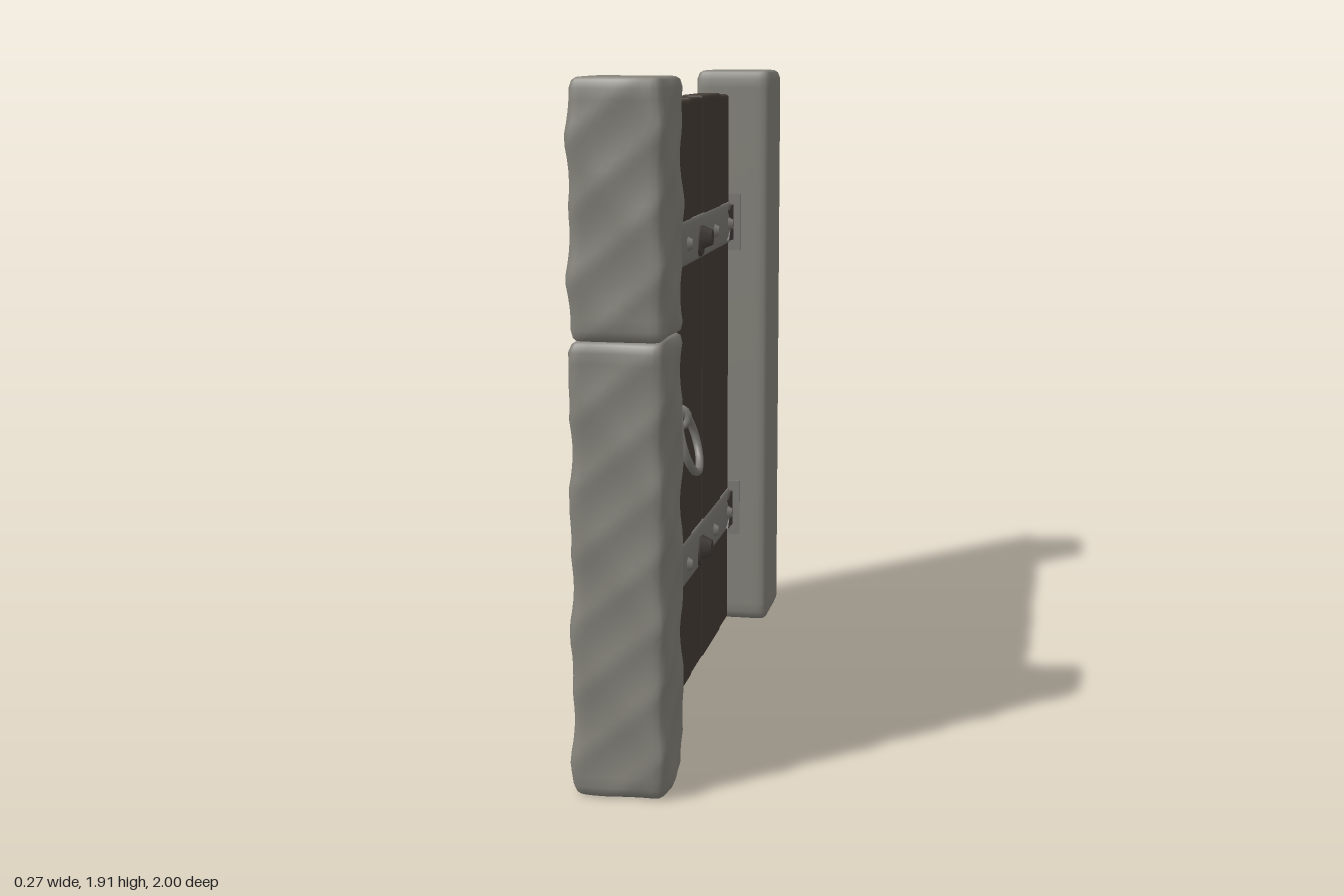
import * as THREE from 'three';
import { mergeVertices } from 'three/addons/utils/BufferGeometryUtils.js';
import { RoundedBoxGeometry } from 'three/addons/geometries/RoundedBoxGeometry.js';

const mat = (name, color) => Object.assign(new THREE.MeshStandardMaterial({ color }), { name });
const stone = mat('stone', 0x85837b);
const wood = mat('dark wood', 0x463e37);
const iron = mat('iron', 0x7c7a75);
const darkIron = mat('dark iron', 0x443f3b);

function add(parent, name, geometry, material, x = 0, y = 0, z = 0) {
  const mesh = new THREE.Mesh(geometry, material);
  mesh.name = name;
  mesh.position.set(x, y, z);
  parent.add(mesh);
  return mesh;
}

// Rounded block whose sides are dented by a few crossing waves
function stoneBlock(w, h, d, r, dent, seed) {
  let g = new THREE.BoxGeometry(w, h, d, 14, Math.round(h / 0.03), 14);
  g.deleteAttribute('uv');
  g.deleteAttribute('normal');
  g = mergeVertices(g);
  const p = g.attributes.position;
  const v = new THREE.Vector3(), core = new THREE.Vector3();
  const lim = new THREE.Vector3(w / 2 - r, h / 2 - r, d / 2 - r);
  for (let i = 0; i < p.count; i++) {
    v.fromBufferAttribute(p, i);
    core.copy(v).clamp(lim.clone().negate(), lim);
    v.sub(core).normalize().multiplyScalar(r).add(core);
    const a = Math.sin(v.y * 9 + v.x * 11 - v.z * 8 + seed);
    const b = Math.sin(v.y * 17 - v.x * 14 + v.z * 12 + seed * 2.3);
    const cut = dent * (Math.abs(a) * 0.6 + Math.abs(b) * 0.4);
    v.x *= 1 - cut / w * 2;
    v.z *= 1 - cut / d * 2;
    p.setXYZ(i, v.x, v.y, v.z);
  }
  g.computeVertexNormals();
  return g;
}

// Round peg pointing along +x
const peg = (r1, r2, len, sides = 8) =>
  new THREE.CylinderGeometry(r2, r1, len, sides).rotateZ(-Math.PI / 2);

// Thin plate cut in the z-y plane, facing +x
function plate(points, depth) {
  const shape = new THREE.Shape(points.map(([z, y]) => new THREE.Vector2(-z, y)));
  return new THREE.ExtrudeGeometry(shape, { depth, bevelEnabled: false }).rotateY(Math.PI / 2);
}

function buildPosts() {
  const posts = new THREE.Group();
  posts.name = 'posts';
  add(posts, 'roughPostLower', stoneBlock(0.275, 1.235, 0.275, 0.03, 0.014, 1), stone, 0, 0.6175, 0.863);
  add(posts, 'roughPostUpper', stoneBlock(0.275, 0.68, 0.275, 0.03, 0.014, 4), stone, 0, 1.572, 0.863);
  add(posts, 'smoothPost', stoneBlock(0.255, 1.91, 0.255, 0.03, 0, 0), stone, 0.003, 0.955, -0.872);
  return posts;
}

function buildPlanks() {
  const planks = new THREE.Group();
  planks.name = 'planks';
  const seams = [0.735, 0.545, 0.35, 0.13, -0.078, -0.268, -0.585, -0.75];
  for (let i = 0; i < seams.length - 1; i++) {
    const width = seams[i] - seams[i + 1] - 0.004;
    const top = 1.83 + (i % 3) * 0.004;
    add(planks, 'plank', new RoundedBoxGeometry(0.076, top - 0.005, width, 3, 0.012), wood,
      -0.048 + (i % 2) * 0.003, (top + 0.005) / 2, (seams[i] + seams[i + 1]) / 2);
  }
  return planks;
}

// One strap with flared end, studs and hinge plate
function buildStrap(y) {
  const strap = new THREE.Group();
  strap.name = 'strap';
  strap.position.y = y;
  const flare = [[0.69, 0.055], [0.65, 0.072], [0.655, 0.09], [0.625, 0.095], [0.615, 0.112],
    [0.585, 0.108], [0.575, 0.085], [0.555, 0.07]];
  const outline = [...flare, ...flare.map(([z, h]) => [z, -h * 0.92]).reverse()];
  for (const [name, side] of [['front', 1], ['back', -1]]) {
    const bar = new THREE.CylinderGeometry(0.069, 0.069, 1.43, 20).rotateX(Math.PI / 2).scale(0.22, 1, 1);
    add(strap, name + 'Bar', bar, iron, side > 0 ? -0.009 : -0.086, 0, -0.028);
    add(strap, name + 'Flare', plate(outline, 0.012), iron, side > 0 ? -0.012 : -0.1);
  }
  // Dark end pieces and seat of the large stud
  add(strap, 'strapEnd', new THREE.BoxGeometry(0.012, 0.115, 0.045), darkIron, -0.009, 0, 0.71);
  add(strap, 'hingeLeaf', plate([[-0.695, 0.06], [-0.655, 0.045], [-0.67, 0.02], [-0.7, 0],
    [-0.67, -0.03], [-0.65, -0.055], [-0.745, -0.06], [-0.745, 0.06]], 0.008), darkIron, 0);
  add(strap, 'hingePlate', new THREE.BoxGeometry(0.165, 0.19, 0.012), iron, -0.05, 0, -0.743);
  for (const z of [0.61, 0.27, 0.05, -0.4, -0.66]) {
    const r = z > 0.6 ? 0.03 : 0.024;
    add(strap, 'stud', peg(r, r * 0.6, 0.018), iron, 0.012, 0, z);
  }
  add(strap, 'largeStudBase', peg(0.05, 0.046, 0.01, 9), darkIron, 0.006, -0.01, -0.16);
  add(strap, 'largeStud', peg(0.043, 0.026, 0.035, 6), darkIron, 0.024, 0, -0.165);
  return strap;
}

function buildHandle() {
  const handle = new THREE.Group();
  handle.name = 'handle';
  add(handle, 'lockPlate', new THREE.BoxGeometry(0.014, 0.235, 0.34), iron, -0.005, 0.925, 0.542);
  add(handle, 'raisedPanel', plate([[0.64, 0.83], [0.56, 0.99], [0.47, 0.99], [0.4, 0.83]], 0.006),
    darkIron, 0.002);
  add(handle, 'latch', plate([[0.735, 0.86], [0.735, 0.98], [0.715, 1.04], [0.69, 1.04], [0.69, 0.81],
    [0.715, 0.81]], 0.04), iron, -0.01);
  for (const [z, y] of [[0.63, 1.005], [0.415, 1.005], [0.63, 0.85], [0.41, 0.85]])
    add(handle, 'rivet', peg(0.02, 0.012, 0.014), iron, 0.008, y, z);
  add(handle, 'boss', peg(0.05, 0.017, 0.045, 10), iron, 0.026, 0.945, 0.51);
  add(handle, 'staple', new THREE.TorusGeometry(0.027, 0.011, 8, 16), iron, 0.07, 0.955, 0.51);
  const ring = new THREE.TorusGeometry(0.087, 0.012, 8, 28).rotateY(Math.PI / 2).rotateZ(0.28);
  add(handle, 'ring', ring, iron, 0.1, 0.885, 0.51);
  return handle;
}

export function createModel() {
  const gate = new THREE.Group();
  gate.name = 'gate';
  gate.add(buildPosts(), buildPlanks(), buildStrap(0.405), buildStrap(1.4), buildHandle());
  return gate;
}
